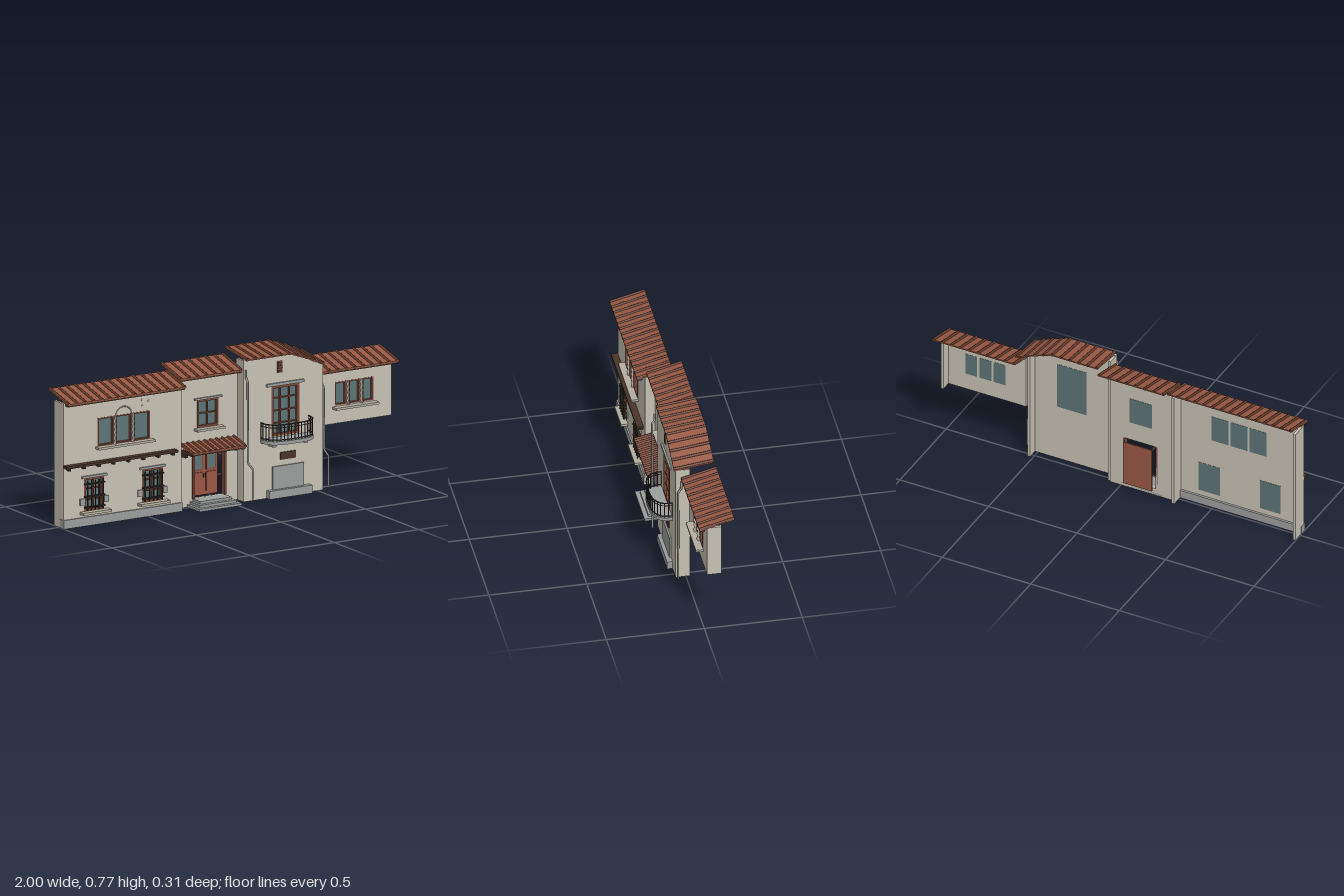
import * as THREE from 'three';

const mat = (name, color, side = THREE.FrontSide) => {
  const m = new THREE.MeshStandardMaterial({ color, side });
  m.name = name;
  return m;
};

export function createModel() {
  const M = {
    plaster: mat('plaster', 0xc6c1b2),
    stone: mat('stone', 0x9c9e9d),
    sill: mat('pale stone', 0xb4ae9f),
    glass: mat('glass', 0x5d7476),
    tile: mat('roof tile', 0x965944),
    ridge: mat('dark tile', 0x64382a),
    door: mat('door wood', 0x9a5642),
    wood: mat('dark wood', 0x4a3328),
    iron: mat('iron', 0x35302d),
    frame: mat('window frame', 0x7d4a3a),
  };
  const root = new THREE.Group();

  const add = (name, geo, material, parent = root) => {
    const mesh = new THREE.Mesh(geo, material);
    mesh.name = name;
    parent.add(mesh);
    return mesh;
  };
  const group = (name) => {
    const g = new THREE.Group();
    g.name = name;
    root.add(g);
    return g;
  };
  // Box given by its limits on each axis
  const box = (name, x0, x1, y0, y1, z0, z1, m, parent) => {
    const g = new THREE.BoxGeometry(x1 - x0, y1 - y0, z1 - z0);
    g.translate((x0 + x1) / 2, (y0 + y1) / 2, (z0 + z1) / 2);
    return add(name, g, m, parent);
  };
  const path = (pts) => {
    const c = new THREE.CurvePath();
    const v = pts.map((p) => new THREE.Vector3(...p));
    for (let i = 1; i < v.length; i++) c.add(new THREE.LineCurve3(v[i - 1], v[i]));
    return c;
  };

  // ---- Walls: thin front panel with openings, plus side returns ----
  const T = 0.018;
  const wall = (name, outline, zf, holes, returns) => {
    const g = group(name);
    const s = new THREE.Shape(outline.map((p) => new THREE.Vector2(...p)));
    for (const [x0, x1, y0, y1] of holes) {
      s.holes.push(new THREE.Path([[x0, y0], [x0, y1], [x1, y1], [x1, y0]].map((p) => new THREE.Vector2(...p))));
    }
    const geo = new THREE.ExtrudeGeometry(s, { depth: T, bevelEnabled: false });
    add('frontPanel', geo.translate(0, 0, zf - T), M.plaster, g);
    for (const [x0, x1, y0, y1, zb] of returns) box('sideReturn', x0, x1, y0, y1, zb, zf - T, M.plaster, g);
  };
  const rect = (x0, x1, y0, y1) => [[x0, y0], [x1, y0], [x1, y1], [x0, y1]];

  // Window: glass flush with the panel's back, frame and glazing bars
  const windowUnit = (name, [x0, x1, y0, y1], zf, cols, rows, w = 0.007) => {
    const g = group(name);
    const zb = zf - T;
    box('glass', x0, x1, y0, y1, zb - 0.001, zb + 0.005, M.glass, g);
    const za = zb + 0.005, zc = zf + 0.002;
    for (const x of [x0, x1 - w]) box('frameSide', x, x + w, y0, y1, za, zc, M.frame, g);
    for (const y of [y0, y1 - w]) box('frameRail', x0 + w, x1 - w, y, y + w, za, zc, M.frame, g);
    for (let i = 1; i < cols; i++) {
      const x = x0 + ((x1 - x0) * i) / cols;
      box('glazingBar', x - 0.003, x + 0.003, y0 + w, y1 - w, za, zc - 0.005, M.frame, g);
    }
    for (let i = 1; i < rows; i++) {
      const y = y0 + ((y1 - y0) * i) / rows;
      box('glazingBar', x0 + w, x1 - w, y - 0.003, y + 0.003, za, zc - 0.006, M.frame, g);
    }
  };
  // Twisted column standing between windows
  const column = (x, y0, y1, z) => {
    const geo = new THREE.CylinderGeometry(0.007, 0.007, y1 - y0, 8, 24);
    const p = geo.attributes.position;
    for (let i = 0; i < p.count; i++) {
      const a = p.getY(i) * 220;
      p.setX(i, p.getX(i) + 0.002 * Math.cos(a));
      p.setZ(i, p.getZ(i) + 0.002 * Math.sin(a));
    }
    geo.computeVertexNormals();
    add('twistedColumn', geo.translate(x, (y0 + y1) / 2, z), M.sill);
  };

  const ZA = 0.042, ZB = -0.008, ZC = 0.052, ZD = -0.018;
  const upperA = [[-0.797, -0.702], [-0.69, -0.595], [-0.583, -0.487]].map(([a, b]) => [a, b, 0.4, 0.545]);
  const lowerA = [[-0.877, -0.76], [-0.535, -0.412]].map(([a, b]) => [a, b, 0.075, 0.245]);
  const winB = [-0.176, -0.05, 0.4, 0.545];
  const winC = [0.225, 0.39, 0.315, 0.575];
  const winD = [[0.645, 0.712], [0.726, 0.792], [0.806, 0.872]].map(([a, b]) => [a, b, 0.405, 0.525]);

  wall('leftWing', rect(-0.998, -0.3, 0, 0.652), ZA, [...upperA, ...lowerA],
    [[-0.998, -0.984, 0, 0.645, -0.05], [-0.314, -0.3, 0, 0.645, -0.05]]);
  wall('entranceWall', rect(-0.3, 0.062, 0, 0.682), ZB, [winB, [-0.2, -0.018, 0.04, 0.295]], []);
  wall('gabledWall', [[0.062, 0], [0.53, 0], [0.53, 0.648], [0.43, 0.692], [0.33, 0.732], [0.062, 0.732]], ZC, [winC],
    [[0.062, 0.076, 0, 0.728, -0.02], [0.516, 0.53, 0, 0.648, -0.02]]);
  wall('rightWing', rect(0.53, 0.982, 0.312, 0.602), ZD, winD, [[0.968, 0.982, 0.312, 0.595, -0.092]]);
  box('leftWingPlinth', -1, -0.3, 0, 0.045, ZA - 0.03, 0.05, M.stone);

  upperA.forEach((w) => windowUnit('leftUpperWindow', w, ZA, 1, 1));
  lowerA.forEach((w) => windowUnit('leftLowerWindow', w, ZA, 2, 3, 0.01));
  windowUnit('entranceUpperWindow', winB, ZB, 2, 2, 0.011);
  windowUnit('balconyWindow', winC, ZC, 3, 4, 0.013);
  winD.forEach((w) => windowUnit('rightWindow', w, ZD, 1, 1));
  for (const x of [-0.696, -0.589]) column(x, 0.4, 0.545, ZA + 0.006);
  for (const x of [0.719, 0.799]) column(x, 0.4, 0.525, ZD + 0.008);

  // ---- Sills, lintels and corner stones ----
  box('leftUpperSill', -0.81, -0.475, 0.388, 0.4, ZA, ZA + 0.036, M.sill);
  box('entranceSill', -0.195, -0.032, 0.388, 0.4, ZB, ZB + 0.036, M.sill);
  box('entranceLintel', -0.195, -0.032, 0.545, 0.555, ZB, ZB + 0.01, M.stone);
  box('rightSill', 0.63, 0.885, 0.388, 0.4, ZD, ZD + 0.038, M.sill);
  box('balconyLintel', 0.195, 0.415, 0.575, 0.59, ZC, ZC + 0.01, M.stone);

  for (const [x0, x1, y0, y1] of lowerA) {
    box('lowerSill', x0 - 0.025, x1 + 0.025, 0.062, 0.075, ZA, ZA + 0.036, M.sill);
    box('lowerLintel', x0 - 0.015, x1 + 0.015, 0.245, 0.257, ZA, ZA + 0.009, M.stone);
    for (const x of [x0 - 0.026, x1]) box('sideStone', x, x + 0.026, 0.108, 0.142, ZA, ZA + 0.007, M.stone);
    // Iron window grille
    const g = group('windowGrille');
    for (let i = 0; i < 5; i++) {
      const x = x0 + 0.012 + ((x1 - x0 - 0.024) * i) / 4;
      box('upright', x - 0.0025, x + 0.0025, y0 + 0.005, y1 - 0.01, ZA + 0.012, ZA + 0.017, M.iron, g);
    }
    for (const y of [0.095, 0.15, 0.215]) box('crossBar', x0, x1, y - 0.0025, y + 0.0025, ZA, ZA + 0.018, M.iron, g);
  }

  // Arch moulding and small round vents on the left wing
  add('archMoulding', new THREE.TorusGeometry(0.048, 0.003, 6, 24, Math.PI).translate(-0.642, 0.538, ZA), M.sill);
  for (const [x, y] of [[-0.535, 0.605], [-0.495, 0.595], [-0.53, 0.575]]) {
    add('roundVent', new THREE.CylinderGeometry(0.006, 0.006, 0.006, 10).rotateX(Math.PI / 2).translate(x, y, ZA), M.sill);
  }

  // Timber ledge on brackets
  box('ledge', -1, -0.34, 0.314, 0.327, ZA, ZA + 0.034, M.wood);
  for (let i = 0; i < 8; i++) {
    const x = -0.975 + i * 0.088;
    box('ledgeBracket', x - 0.006, x + 0.006, 0.3, 0.314, ZA, ZA + 0.025, M.wood);
  }

  // ---- Tiled roofs: slab following a profile, with raised cover tiles, rising to the back ----
  const roof = (name, profile, zf, zb, rise, step, fascia = true) => {
    const g = group(name);
    const shear = (geo) => {
      const p = geo.attributes.position;
      for (let i = 0; i < p.count; i++) p.setY(i, p.getY(i) + (rise * (zf - p.getZ(i))) / (zf - zb));
      geo.computeVertexNormals();
      return geo;
    };
    const lower = profile.map(([x, y]) => new THREE.Vector2(x, y));
    const upper = profile.map(([x, y]) => new THREE.Vector2(x, y + 0.007)).reverse();
    const slab = new THREE.ExtrudeGeometry(new THREE.Shape([...lower, ...upper]), { depth: zf - zb, bevelEnabled: false });
    add('tileBed', shear(slab.translate(0, 0, zb)), M.tile, g);
    const a = profile[0][0], b = profile[profile.length - 1][0];
    const n = Math.round((b - a - 0.016) / step);
    for (let i = 0; i <= n; i++) {
      const x = a + 0.008 + ((b - a - 0.016) * i) / n;
      const k = Math.max(1, profile.findIndex((p) => p[0] >= x));
      const [p, q] = [profile[k - 1], profile[k]];
      const y = p[1] + ((q[1] - p[1]) * (x - p[0])) / (q[0] - p[0]);
      const rib = new THREE.CylinderGeometry(0.008, 0.008, zf - zb, 8).rotateX(Math.PI / 2);
      add('coverTile', shear(rib.translate(x, y + 0.006, (zf + zb) / 2)), M.ridge, g);
    }
    if (fascia) box('eaveBoard', a + 0.006, b - 0.006, profile[0][1] - 0.008, profile[0][1] + 0.002, zf - 0.03, zf - 0.004, M.wood, g);
  };
  roof('leftRoof', [[-1, 0.643], [-0.298, 0.643]], 0.085, -0.095, 0.046, 0.049);
  roof('entranceRoof', [[-0.306, 0.671], [0.07, 0.671]], 0.035, -0.145, 0.046, 0.049);
  roof('gableRoof', [[0.072, 0.727], [0.335, 0.727], [0.43, 0.692], [0.535, 0.648]], 0.062, -0.142, 0.026, 0.049, false);
  roof('rightRoof', [[0.53, 0.593], [1, 0.593]], 0.025, -0.155, 0.046, 0.049);
  roof('porchRoof', [[-0.278, 0.298], [0.048, 0.298]], 0.105, ZB, 0.026, 0.036);

  // ---- Porch and double door ----
  for (const s of [-1, 1]) {
    const x = -0.115 + s * 0.147;
    box('porchBracket', x - 0.007, x + 0.007, 0.284, 0.3, ZB, 0.095, M.wood);
    box('porchBrace', x - 0.007, x + 0.007, 0.265, 0.284, ZB, 0.03, M.wood);
    const j = -0.109 + s * 0.093;
    box('doorJamb', j - 0.005, j + 0.005, 0.04, 0.295, ZB - T, ZB + 0.012, M.frame);
  }
  box('doorHead', -0.207, -0.011, 0.287, 0.3, ZB, ZB + 0.012, M.frame);
  box('doorSlab', -0.19, -0.028, 0.04, 0.29, -0.056, -0.05, M.door);
  for (const s of [-1, 1]) {
    const x = -0.109 + s * 0.038;
    box('doorPanel', x - 0.028, x + 0.028, 0.06, 0.158, -0.05, -0.044, M.door);
    box('doorLightFrame', x - 0.028, x + 0.028, 0.17, 0.268, -0.05, -0.044, M.frame);
    box('doorLight', x - 0.022, x + 0.022, 0.176, 0.262, -0.045, -0.042, M.glass);
    const h = -0.109 + s * 0.008;
    box('doorHandle', h - 0.002, h + 0.002, 0.13, 0.15, -0.05, -0.04, M.iron);
  }
  [[0.125, 0.108], [0.108, 0.086], [0.093, 0.064]].forEach(([w, z], i) =>
    box('porchStep', -0.11 - w, -0.11 + w, i * 0.0133, (i + 1) * 0.0133, ZB - T, z, M.stone));

  // ---- Curved balcony ----
  const rim = (inset, y, n = 28) => Array.from({ length: n + 1 }, (_, i) => {
    const t = (Math.PI * i) / n, c = Math.cos(t);
    return new THREE.Vector3(0.305 + (0.145 - inset) * Math.sign(c) * Math.abs(c) ** 0.7, y,
      ZC + (0.1 - inset) * Math.max(0, Math.sin(t)) ** 0.7);
  });
  const floor = new THREE.Shape(rim(0, 0).map((p) => new THREE.Vector2(p.x, -p.z)));
  add('balconyFloor', new THREE.ExtrudeGeometry(floor, { depth: 0.018, bevelEnabled: false })
    .rotateX(-Math.PI / 2).translate(0, 0.292, 0), M.stone);
  for (const x of [0.215, 0.4]) box('balconyCorbel', x - 0.01, x + 0.01, 0.272, 0.292, ZC, 0.102, M.stone);
  const railing = group('balconyRailing');
  for (const [y, r] of [[0.318, 0.0025], [0.38, 0.002], [0.395, 0.0035]]) {
    add('rail', new THREE.TubeGeometry(new THREE.CatmullRomCurve3(rim(0.004, y)), 48, r, 6), M.iron, railing);
  }
  new THREE.CatmullRomCurve3(rim(0.004, 0)).getSpacedPoints(20).forEach((p) =>
    add('baluster', new THREE.CylinderGeometry(0.0025, 0.0025, 0.086, 6).translate(p.x, 0.352, p.z), M.iron, railing));

  // ---- Gable vent, plaque and wall basin ----
  box('gableVent', 0.26, 0.288, 0.64, 0.7, ZC, ZC + 0.004, M.frame);
  for (let i = 0; i < 4; i++) box('ventSlat', 0.262, 0.286, 0.646 + i * 0.014, 0.653 + i * 0.014, ZC + 0.004, ZC + 0.007, M.wood);
  box('plaque', 0.277, 0.366, 0.19, 0.228, ZC, ZC + 0.006, M.wood);
  box('basinBack', 0.23, 0.413, 0.04, 0.16, ZC, ZC + 0.009, M.stone);
  box('basin', 0.198, 0.45, 0, 0.042, ZC, 0.08, M.stone);

  // ---- Downpipes ----
  const pipes = {
    leftDownpipe: [[0.066, 0.685, 0.066], [0.066, 0.645, 0.066], [0.068, 0.628, 0.08], [0.07, 0.205, 0.08], [0.097, 0.17, 0.084], [0.097, 0.016, 0.084]],
    rightDownpipe: [[0.541, 0.59, 0.024], [0.541, 0.545, 0.026], [0.542, 0.522, 0.042], [0.544, 0.205, 0.042], [0.566, 0.17, 0.047], [0.566, 0.016, 0.047]],
  };
  for (const [name, pts] of Object.entries(pipes)) {
    add(name, new THREE.TubeGeometry(path(pts), 80, 0.0055, 8), M.stone);
  }
  return root;
}
